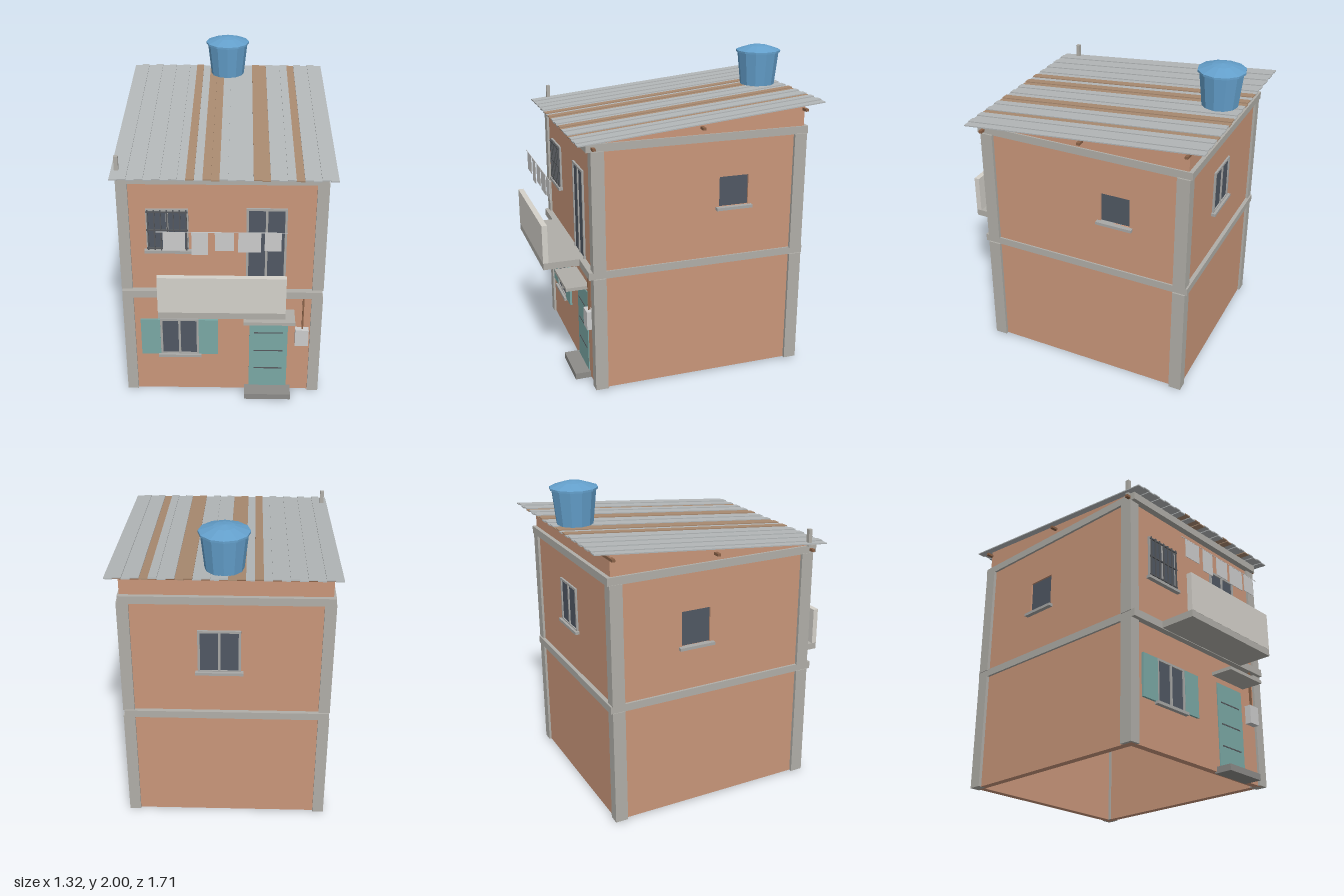
import * as THREE from 'three';

const mat = (color) => new THREE.MeshStandardMaterial({ color, flatShading: true });
const M = {
  brick: mat(0xc9967a), concrete: mat(0xb0aea8), light: mat(0xd4d1ca), dark: mat(0x505863),
  frame: mat(0xa8a8a6), teal: mat(0x7aa8a5), blue: mat(0x64a0cc), zinc: mat(0xb3b7b8),
  rust: mat(0xa98a70), wood: mat(0x8a6248), white: mat(0xdcdad8), iron: mat(0x55585c), step: mat(0x8c8b88),
};
const T = 0.045; // wall thickness
const FRONT = 0.59, BACK = -0.75, RIGHT = 0.595, LEFT = -0.615;
const SLOPE = 0.094;
const roofY = (z) => 1.588 + SLOPE * (0.69 - z);

// box given by its extents
function box(parent, name, m, [x0, x1], [y0, y1], [z0, z1]) {
  const mesh = new THREE.Mesh(new THREE.BoxGeometry(x1 - x0, y1 - y0, z1 - z0), m);
  mesh.position.set((x0 + x1) / 2, (y0 + y1) / 2, (z0 + z1) / 2);
  mesh.name = name;
  parent.add(mesh);
  return mesh;
}

// facade group: local x runs along the wall, local z points outwards from its outer face
function facade(parent, name, pos, turn, u0, u1, top0, top1, holes) {
  const g = new THREE.Group();
  g.name = name;
  g.position.set(...pos);
  g.rotation.y = turn;
  const pts = [[u0, 0.01], [u1, 0.01], [u1, top1], [u0, top0]];
  const shape = new THREE.Shape(pts.map((p) => new THREE.Vector2(...p)));
  for (const [a, b, c, d] of holes) {
    shape.holes.push(new THREE.Path([[a, c], [a, d], [b, d], [b, c]].map((p) => new THREE.Vector2(...p))));
  }
  const geo = new THREE.ExtrudeGeometry(shape, { depth: T, bevelEnabled: false });
  geo.translate(0, 0, -T);
  const wall = new THREE.Mesh(geo, M.brick);
  wall.name = name + 'Wall';
  g.add(wall);
  parent.add(g);
  return g;
}

// glazed opening: pane, optional frame with a mullion, optional sill
function opening(g, name, [a, b, c, d], framed, sill) {
  const w = new THREE.Group();
  w.name = name;
  g.add(w);
  box(w, 'pane', M.dark, [a, b], [c, d], [-0.03, framed ? 0.004 : -0.012]);
  if (framed) {
    const z = [-0.035, 0.012], t = 0.007, mid = (a + b) / 2;
    for (const x of [a, mid, b]) box(w, 'frameUpright', M.frame, [x - t, x + t], [c, d], z);
    for (const y of sill ? [c, d] : [d]) box(w, 'frameRail', M.frame, [a - t, b + t], [y - t, y + t], z);
  }
  if (sill) box(w, 'sill', M.frame, [a - 0.022, b + 0.022], [c - 0.018, c], [-0.02, 0.028]);
}

export function createModel() {
  const house = new THREE.Group();
  house.name = 'house';

  // walls with openings
  const lowWin = [-0.4, -0.17, 0.298, 0.56], upWin = [-0.46, -0.22, 1.08, 1.35];
  const door = [0.16, 0.405, 0.03, 0.585], upDoor = [0.14, 0.37, 0.795, 1.358];
  const backWin = [-0.15, 0.09, 1.08, 1.35], rightWin = [0.2, 0.39, 1.12, 1.31], leftWin = [-0.3, -0.11, 1.08, 1.3];
  const front = facade(house, 'front', [0, 0, FRONT], 0, LEFT, RIGHT, 1.585, 1.585, [lowWin, upWin, door, upDoor]);
  const back = facade(house, 'back', [0, 0, BACK], Math.PI, -RIGHT, -LEFT, roofY(BACK), roofY(BACK), [backWin]);
  const right = facade(house, 'leftSide', [RIGHT, 0, 0], Math.PI / 2, -FRONT, -BACK, roofY(FRONT), roofY(BACK), [rightWin]);
  const left = facade(house, 'rightSide', [LEFT, 0, 0], -Math.PI / 2, BACK, FRONT, roofY(BACK), roofY(FRONT), [leftWin]);
  opening(front, 'lowerWindow', lowWin, true, true);
  opening(front, 'upperWindow', upWin, true, true);
  opening(front, 'balconyDoor', upDoor, true, false);
  opening(back, 'backWindow', backWin, true, true);
  opening(right, 'sideWindow', rightWin, false, true);
  opening(left, 'sideWindow', leftWin, false, true);

  // shutters
  for (const x of [-0.53, -0.163]) box(front, 'shutter', M.teal, [x, x + 0.123], [0.295, 0.563], [0, 0.014]);

  // front door with grooves, step and canopy
  box(front, 'frontDoor', M.teal, [0.16, 0.405], [0.03, 0.585], [-0.035, 0.006]);
  for (const y of [0.18, 0.32, 0.46]) box(front, 'doorGroove', M.iron, [0.19, 0.375], [y, y + 0.008], [0, 0.008]);
  box(house, 'doorStep', M.step, [0.13, 0.43], [0, 0.04], [0.575, 0.69]);
  box(house, 'doorCanopy', M.concrete, [0.12, 0.44], [0.622, 0.643], [0.58, 0.735]);

  // window grille
  for (let i = 0; i < 7; i++) {
    const x = -0.455 + i * 0.0383;
    box(front, 'grilleBar', M.iron, [x - 0.004, x + 0.004], [1.082, 1.355], [0.014, 0.022]);
  }
  for (const y of [1.095, 1.22, 1.342]) box(front, 'grilleRail', M.iron, [-0.465, -0.215], [y - 0.004, y + 0.004], [0.014, 0.022]);

  // meter box and conduit
  box(house, 'meterBox', M.white, [0.45, 0.535], [0.39, 0.51], [0.585, 0.632]);
  box(house, 'conduit', M.wood, [0.49, 0.5], [0.51, 0.752], [0.6, 0.614]);

  // corner columns on both floors
  for (const y of [[0.01, 0.752], [0.793, 1.54]])
    for (const x of [[-0.635, -0.567], [0.545, 0.615]])
      for (const z of [[0.525, 0.605], [-0.765, -0.685]]) box(house, 'cornerColumn', M.concrete, x, y, z);

  // floor slab and ring beam
  box(house, 'floorSlab', M.concrete, [-0.63, 0.605], [0.75, 0.797], [-0.775, 0.63]);
  box(house, 'ringBeam', M.concrete, [-0.63, 0.605], [1.537, 1.585], [-0.775, 0.63]);
  box(house, 'columnStub', M.concrete, [-0.638, -0.613], [1.58, 1.69], [0.565, 0.588]);

  // balcony
  box(house, 'balconySlab', M.concrete, [-0.39, 0.37], [0.754, 0.797], [0.6, 0.855]);
  box(house, 'balconyParapet', M.light, [-0.39, 0.37], [0.797, 1.04], [0.822, 0.856]);

  // clothesline with laundry: left, right, bottom edge
  box(house, 'clothesline', M.white, [-0.39, 0.37], [1.31, 1.313], [0.788, 0.791]);
  for (const [x0, x1, y0] of [[-0.35, -0.222, 1.19], [-0.185, -0.09, 1.16], [-0.05, 0.06, 1.19], [0.085, 0.217, 1.18], [0.238, 0.335, 1.19]])
    box(house, 'laundry', M.white, [x0, x1], [y0, 1.312], [0.787, 0.79]);

  // purlins
  for (const [z, y] of [[0.59, 1.56], [-0.08, 1.627], [-0.745, 1.69]])
    box(house, 'purlin', M.wood, [-0.66, 0.64], [y - 0.008, y + 0.008], [z - 0.01, z + 0.01]);

  // corrugated roof made of alternating high and low strips, some rusty
  const roof = new THREE.Group();
  roof.name = 'roof';
  roof.position.set(0, roofY(-0.083), -0.083);
  roof.rotation.x = Math.atan(SLOPE);
  const n = 27, w = 1.315 / n, rusty = [9, 11, 12, 17, 18, 22];
  for (let i = 0; i < n; i++) {
    const x = -0.6575 + i * w, y = i % 2 ? 0.006 : 0;
    box(roof, 'roofStrip', rusty.includes(i) ? M.rust : M.zinc, [x, x + w], [y, y + 0.007], [-0.776, 0.776]);
  }
  house.add(roof);

  // water tank and domed lid
  const lathe = (name, pts) => {
    const mesh = new THREE.Mesh(new THREE.LatheGeometry(pts.map((p) => new THREE.Vector2(...p)), 12), M.blue);
    mesh.name = name;
    mesh.position.set(0, 1.74, -0.705);
    house.add(mesh);
  };
  lathe('waterTank', [[0, 0], [0.112, 0], [0.136, 0.218], [0, 0.218]]);
  lathe('tankLid', [[0, 0.212], [0.146, 0.212], [0.146, 0.224], [0.062, 0.252], [0, 0.26]]);
  return house;
}
